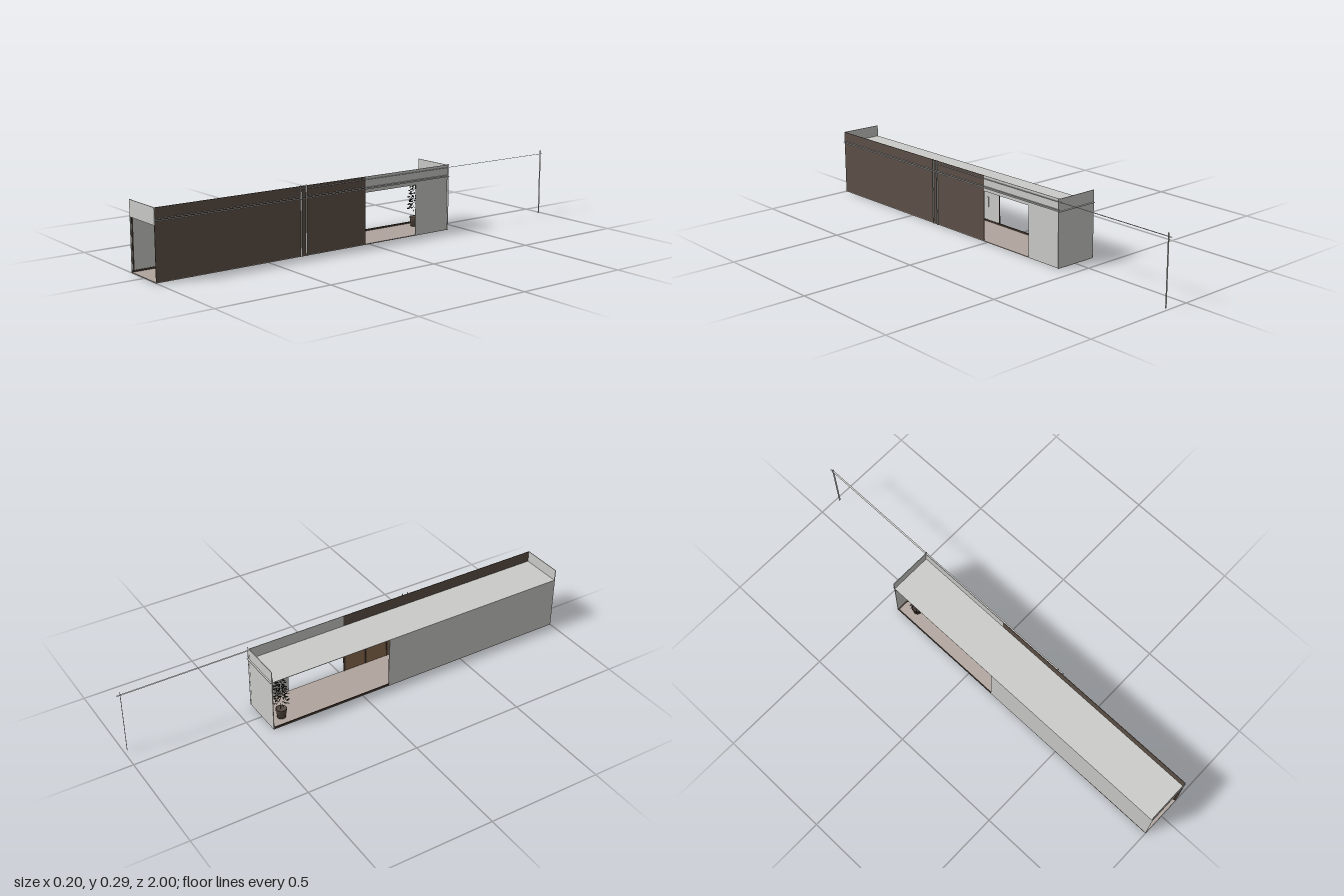
import * as THREE from 'three';

const mat = (name, color) => {
  const m = new THREE.MeshStandardMaterial({ color, side: THREE.DoubleSide });
  m.name = name;
  return m;
};

export function createModel() {
  const grey = mat('plaster grey', 0xcacac8);
  const cladding = mat('cladding brown', 0x5c5047);
  const wood = mat('wood panel', 0x8a6a4f);
  const floorMat = mat('floor beige', 0xb0a49d);
  const frame = mat('frame brown', 0x45382f);
  const trim = mat('trim brown', 0x735a4c);
  const tan = mat('picture tan', 0xc9b69c);
  const haze = mat('picture haze', 0xb4adab);
  const potMat = mat('pot brown', 0x55483f);
  const leafMat = mat('leaf', 0x1b1b0e);

  const root = new THREE.Group();
  root.name = 'corridor';

  // Box given by its min and max on each axis
  const box = (name, m, x0, x1, y0, y1, z0, z1, parent = root) => {
    const mesh = new THREE.Mesh(new THREE.BoxGeometry(x1 - x0, y1 - y0, z1 - z0), m);
    mesh.position.set((x0 + x1) / 2, (y0 + y1) / 2, (z0 + z1) / 2);
    mesh.name = name;
    parent.add(mesh);
    return mesh;
  };

  const L = -0.099, R = 0.091, B = -0.427, ROOF = 0.236, TOP = 0.287;

  // Floor and roof slab, the roof running slightly past the walls
  box('floor', floorMat, L, R, 0, 0.003, B, 1);
  box('roof', grey, L, 0.097, ROOF - 0.001, ROOF + 0.001, B - 0.007, 1);

  // End wall and front parapet
  box('backWall', grey, L, R, 0, TOP, B, B + 0.003);
  box('frontParapet', grey, L, R, 0.219, TOP, 0.997, 1);

  // Left wall, open towards the back
  box('leftWall', grey, L, L + 0.002, 0, ROOF, 0.13, 1);
  box('leftSill', frame, L, L + 0.004, 0.002, 0.01, B, 1);

  // Right wall: brown cladding, opening, plain grey end
  box('rightCladding', cladding, R - 0.002, R, 0, TOP, 0.02, 1);
  box('rightWallEnd', grey, R - 0.002, R, 0, TOP, B, -0.25);
  box('rightLintel', grey, R - 0.002, R, 0.22, TOP, -0.25, 0.02);
  box('woodLining', wood, R - 0.003, R - 0.002, 0.003, ROOF - 0.001, 0.02, 0.996);

  // Slim frame posts along both inner walls
  const framing = new THREE.Group();
  framing.name = 'wallFrames';
  root.add(framing);
  for (let i = 0; i <= 8; i++) {
    const z = 0.995 - i * 0.1075;
    box('leftFramePost', frame, L + 0.002, L + 0.004, 0.003, 0.22, z - 0.006, z, framing);
  }
  for (let i = 0; i <= 9; i++) {
    const z = 0.995 - i * 0.1075;
    box('rightFramePost', frame, R - 0.005, R - 0.003, 0.003, 0.22, z - 0.006, z, framing);
  }
  box('leftHeadRail', frame, L + 0.002, L + 0.004, 0.214, 0.22, 0.13, 0.995, framing);
  box('rightHeadRail', frame, R - 0.005, R - 0.003, 0.214, 0.22, 0.02, 0.995, framing);

  // Door handles
  box('leftHandle', grey, L + 0.004, L + 0.006, 0.07, 0.115, 0.2, 0.206);
  box('rightHandle', cladding, R - 0.008, R - 0.005, 0.08, 0.105, 0.1, 0.106);

  // Trim on the end wall
  box('skirting', trim, L, R - 0.002, 0.003, 0.009, B + 0.003, B + 0.006);
  box('headTrim', trim, L, R - 0.002, 0.214, 0.219, B + 0.003, B + 0.006);

  // Ceiling light slots
  for (const z of [-0.26, -0.1, 0.06, 0.3, 0.55, 0.8])
    box('ceilingSlot', frame, -0.008, -0.002, ROOF - 0.003, ROOF - 0.001, z - 0.06, z + 0.06);

  // Picture with a pale hill painted near its lower right corner
  box('pictureEdge', cladding, -0.063, 0.054, 0.096, 0.186, B + 0.003, B + 0.006);
  box('picture', tan, -0.062, 0.0525, 0.0975, 0.185, B + 0.006, B + 0.008);
  const hill = new THREE.Shape([[0.008, 0.1], [0.045, 0.1], [0.04, 0.106], [0.03, 0.112], [0.024, 0.107], [0.016, 0.109]]
    .map(p => new THREE.Vector2(...p)));
  const hillMesh = new THREE.Mesh(new THREE.ShapeGeometry(hill), haze);
  hillMesh.name = 'pictureHill';
  hillMesh.position.z = B + 0.009;
  root.add(hillMesh);

  // Flat outer posts and overhead rail, reaching past the back end
  const strip = (name, w, h, x, y, z, flat) => {
    const mesh = new THREE.Mesh(new THREE.PlaneGeometry(w, h), grey);
    if (flat) mesh.rotation.x = -Math.PI / 2;
    mesh.position.set(x, y, z);
    mesh.name = name;
    root.add(mesh);
  };
  for (const z of [0.345, 0.32, -0.428, -0.985])
    strip('outerPost', 0.008, 0.291, 0.095, 0.1455, z, false);
  strip('overheadRail', 0.008, 1.35, 0.095, 0.276, -0.325, true);
  strip('wallRail', 0.008, 1.43, 0.095, 0.243, 0.285, true);

  // Potted plant
  const plant = new THREE.Group();
  plant.name = 'pottedPlant';
  plant.position.set(-0.044, 0.003, -0.36);
  root.add(plant);
  const profile = [[0, 0], [0.018, 0], [0.022, 0.036], [0.024, 0.036], [0.024, 0.042], [0.021, 0.042], [0.02, 0.037], [0, 0.037]];
  const pot = new THREE.Mesh(new THREE.LatheGeometry(profile.map(p => new THREE.Vector2(...p)), 24), potMat);
  pot.name = 'pot';
  plant.add(pot);

  const stemCurve = new THREE.CatmullRomCurve3([[0.004, 0.037, 0], [0.008, 0.08, 0.002], [0.002, 0.13, -0.003], [0, 0.188, 0]]
    .map(p => new THREE.Vector3(...p)));
  const stem = new THREE.Mesh(new THREE.TubeGeometry(stemCurve, 12, 0.0007, 5), leafMat);
  stem.name = 'stem';
  plant.add(stem);

  // Folded leaf blade pointing along +y
  const leafGeo = new THREE.BufferGeometry();
  leafGeo.setAttribute('position', new THREE.Float32BufferAttribute(
    [0, 0, 0, 0.0035, 0.009, 0.0015, 0, 0.02, -0.002, -0.0035, 0.009, 0.0015], 3));
  leafGeo.setIndex([0, 1, 2, 0, 2, 3]);
  leafGeo.computeVertexNormals();

  let seed = 7;
  const rnd = () => (seed = (seed * 16807) % 2147483647) / 2147483647;
  const up = new THREE.Vector3(0, 1, 0);
  for (let i = 0; i < 110; i++) {
    const t = i / 109;
    const a = i * 2.4;
    const reach = (0.006 + 0.018 * rnd()) * (1 - 0.45 * t);
    const leaf = new THREE.Mesh(leafGeo, leafMat);
    leaf.name = 'leaf';
    leaf.position.set(Math.cos(a) * reach, 0.075 + 0.108 * t, Math.sin(a) * reach);
    const dir = new THREE.Vector3(Math.cos(a), -0.7 + 1.2 * rnd(), Math.sin(a)).normalize();
    leaf.quaternion.setFromUnitVectors(up, dir);
    leaf.rotateY(rnd() * 6.28);
    leaf.scale.setScalar(0.7 + 0.4 * rnd());
    plant.add(leaf);
  }
  return root;
}
